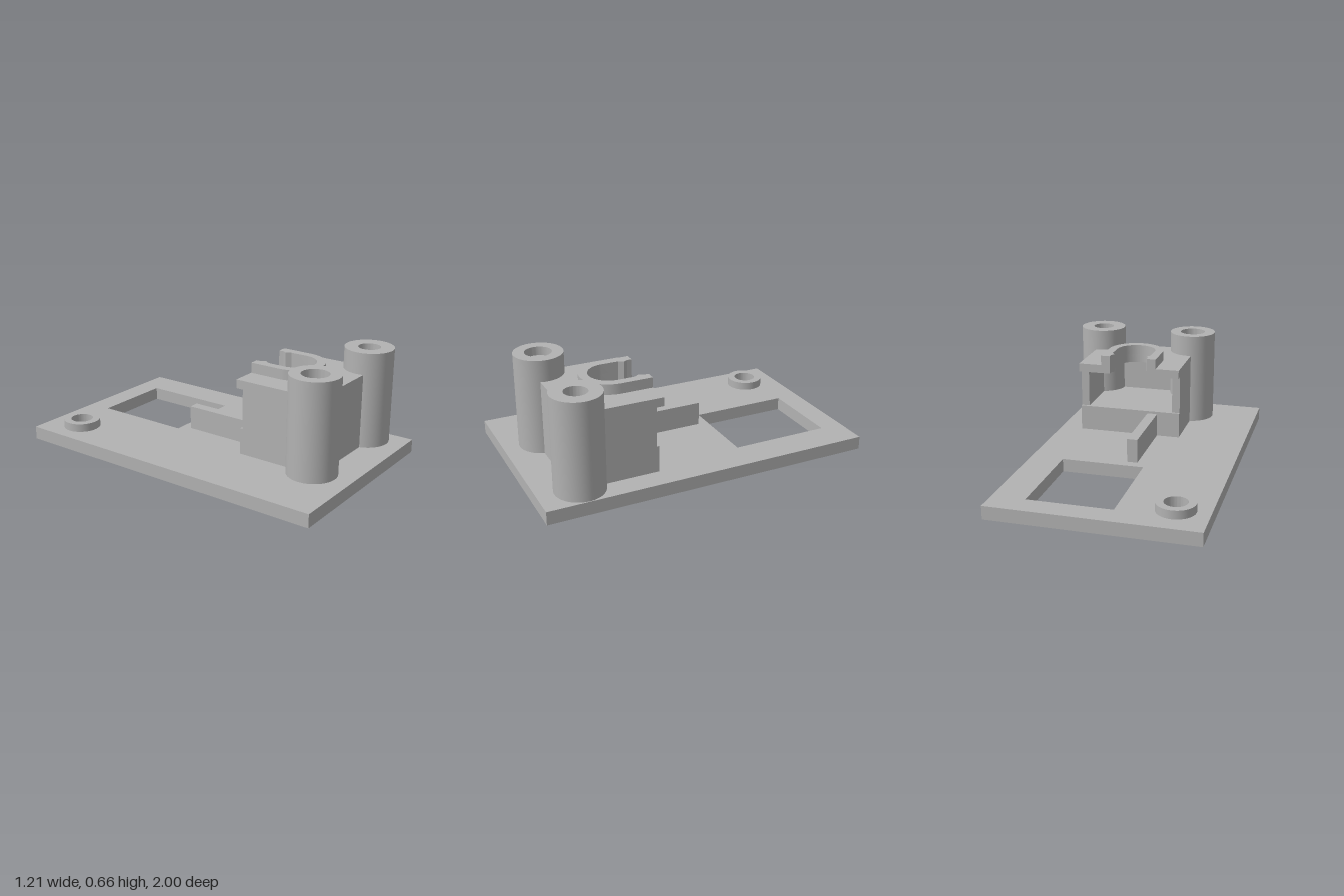
import * as THREE from 'three';
import { toCreasedNormals } from 'three/addons/utils/BufferGeometryUtils.js';

export function createModel() {
  const model = new THREE.Group();
  const grey = new THREE.MeshStandardMaterial({ color: 0xb2b2b2 });
  grey.name = 'plain grey';

  const add = (name, geometry) => {
    const mesh = new THREE.Mesh(geometry, grey);
    mesh.name = name;
    model.add(mesh);
    return mesh;
  };

  // Box given by its limits on each axis
  const box = (name, x0, x1, y0, y1, z0, z1) =>
    add(name, new THREE.BoxGeometry(x1 - x0, y1 - y0, z1 - z0)
      .translate((x0 + x1) / 2, (y0 + y1) / 2, (z0 + z1) / 2));

  // Plan outline (x, z) raised from y0 to y1
  const slab = (name, shape, y0, y1) => {
    const g = new THREE.ExtrudeGeometry(shape, { depth: y1 - y0, bevelEnabled: false, curveSegments: 32 });
    g.rotateX(Math.PI / 2).translate(0, y1, 0);
    return add(name, toCreasedNormals(g, 0.5));
  };

  // Turned part standing at (x, z)
  const turned = (name, x, z, profile) => {
    const g = new THREE.LatheGeometry(profile.map(([r, y]) => new THREE.Vector2(r, y)), 64);
    add(name, toCreasedNormals(g, 0.5)).position.set(x, 0, z);
  };

  const path = (points, Type = THREE.Shape) => new Type(points.map(([x, z]) => new THREE.Vector2(x, z)));
  const rect = (x0, x1, z0, z1, Type) => path([[x0, z0], [x1, z0], [x1, z1], [x0, z1]], Type);

  const top = 0.08, sink = 0.131, bore = 0.067;
  const boss = [-0.413, -0.78], blind = [-0.168, 0.755], open = [0.453, 0.755];

  // Base plate with window and two screw holes
  const plate = rect(-0.605, 0.605, -1, 1);
  plate.holes.push(rect(-0.095, 0.405, -0.86, -0.26, THREE.Path));
  for (const [x, z] of [boss, open]) {
    plate.holes.push(new THREE.Path().absarc(x, z, sink, 0, Math.PI * 2, true));
  }
  slab('basePlate', plate, 0, top);

  // Bored posts, countersunk from below
  const bored = (r, h) => [[sink, 0], [sink, top], [r, top], [r, h], [bore, h], [bore, 0.063], [sink, 0]];
  turned('rearBoss', ...boss, bored(0.112, 0.13));
  turned('leftPost', ...open, bored(0.147, 0.663));
  turned('rightPost', ...blind, [[0.147, top], [0.147, 0.663], [0.08, 0.663], [0.08, 0.61], [0, 0.61]]);

  // Hollow housing, open towards the back
  const x0 = -0.187, x1 = 0.465, front = 0.795, wall = 0.05;
  box('housingFloor', x0, x1, top, 0.24, 0.28, front);
  slab('housingWalls', path([
    [x0, 0.295], [x0 + wall, 0.295], [x0 + wall, front - wall], [x1 - wall, front - wall],
    [x1 - wall, 0.295], [x1, 0.295], [x1, front], [x0, front],
  ]), 0.24, 0.48);

  // U-shaped slot with a small catch on each side, shared by lid and rim
  const cx = 0.14, cz = 0.44, slotR = 0.125, back = 0.25;
  const catches = [[0.121, back], [0.121, 0.28], [0.105, 0.305], [slotR, 0.335]];
  const slotted = (left) => {
    const s = new THREE.Shape().moveTo(left, back);
    catches.forEach(([d, z]) => s.lineTo(cx - d, z));
    s.absarc(cx, cz, slotR, Math.PI, 0, true);
    [...catches].reverse().forEach(([d, z]) => s.lineTo(cx + d, z));
    return s;
  };
  const lid = slotted(x0);
  lid.lineTo(x1, back).lineTo(x1, front).lineTo(x0, front);
  slab('housingLid', lid, 0.48, 0.533);

  const rimR = 0.178;
  const rim = slotted(cx - rimR);
  rim.lineTo(cx + rimR, back);
  rim.absarc(cx, cz, rimR, 0, Math.PI, false);
  slab('slotRim', rim, 0.533, 0.595);

  // Straight guide rail
  box('guideRail', -0.043, 0.02, top, 0.225, -0.2, 0.285);

  return model;
}
